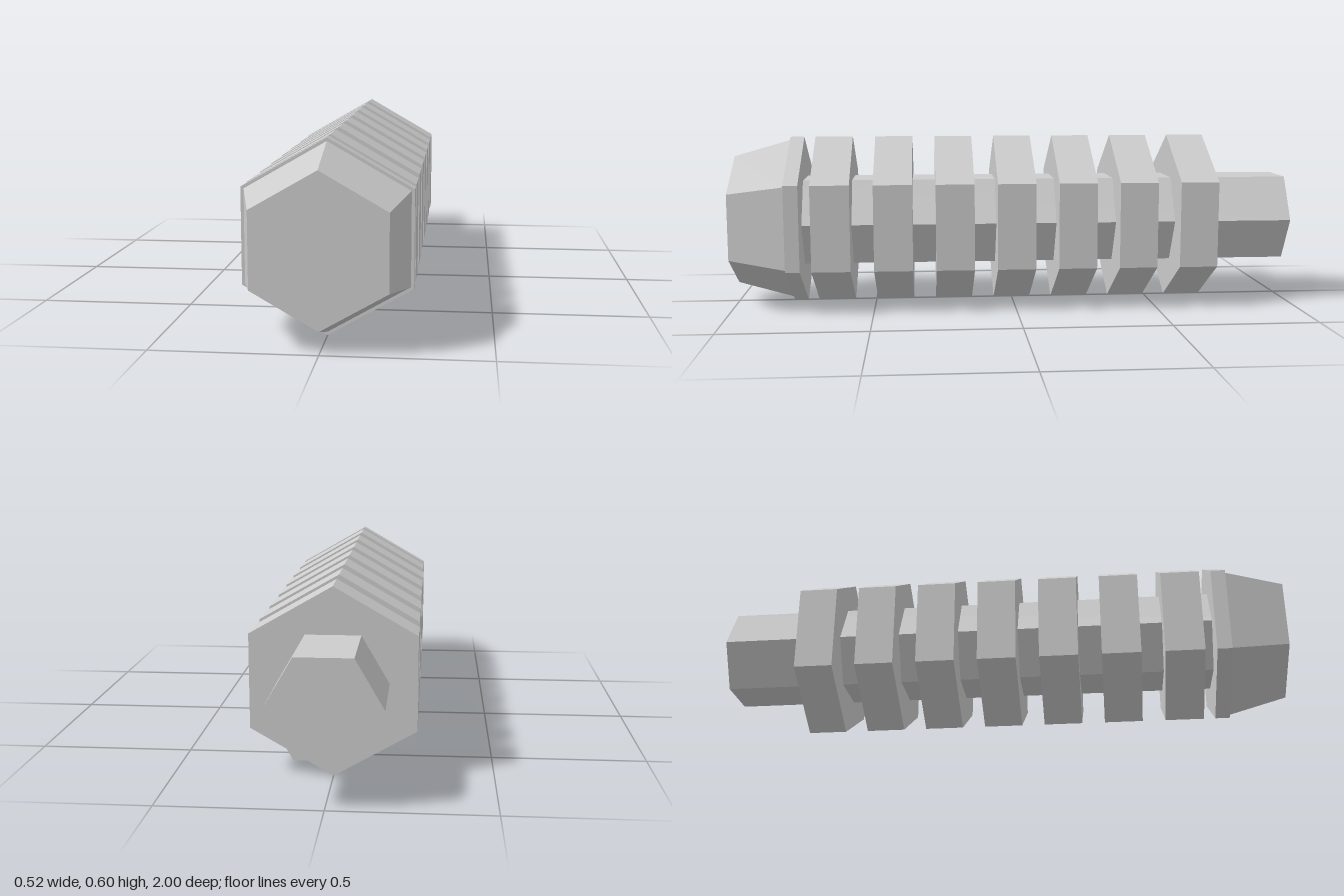
import * as THREE from 'three';

export function createModel() {
  const model = new THREE.Group();
  model.name = 'ribbedHexRod';
  const grey = new THREE.MeshStandardMaterial({ color: 0xcccccc, flatShading: true });
  grey.name = 'light grey';

  // Hexagonal prism lying along z, from zBack to zFront
  function hexPrism(name, rFront, rBack, zBack, zFront, turn = 0) {
    const geo = new THREE.CylinderGeometry(rFront, rBack, zFront - zBack, 6, 1, false, turn);
    geo.rotateX(Math.PI / 2);
    const mesh = new THREE.Mesh(geo, grey);
    mesh.name = name;
    mesh.position.set(0, 0.3, (zBack + zFront) / 2);
    model.add(mesh);
  }

  // Core shaft, turned so its flats face up and down
  hexPrism('shaft', 0.173, 0.173, -1, 0.995, Math.PI / 6);

  // Seven evenly spaced ribs
  for (let i = -3; i <= 3; i++) {
    const z = i * 0.2145;
    hexPrism('rib' + (i + 4), 0.3, 0.3, z - 0.067, z + 0.067);
  }

  // Thin collar and tapered head
  hexPrism('collar', 0.3, 0.3, 0.75, 0.8);
  hexPrism('head', 0.231, 0.289, 0.8, 1);

  return model;
}
